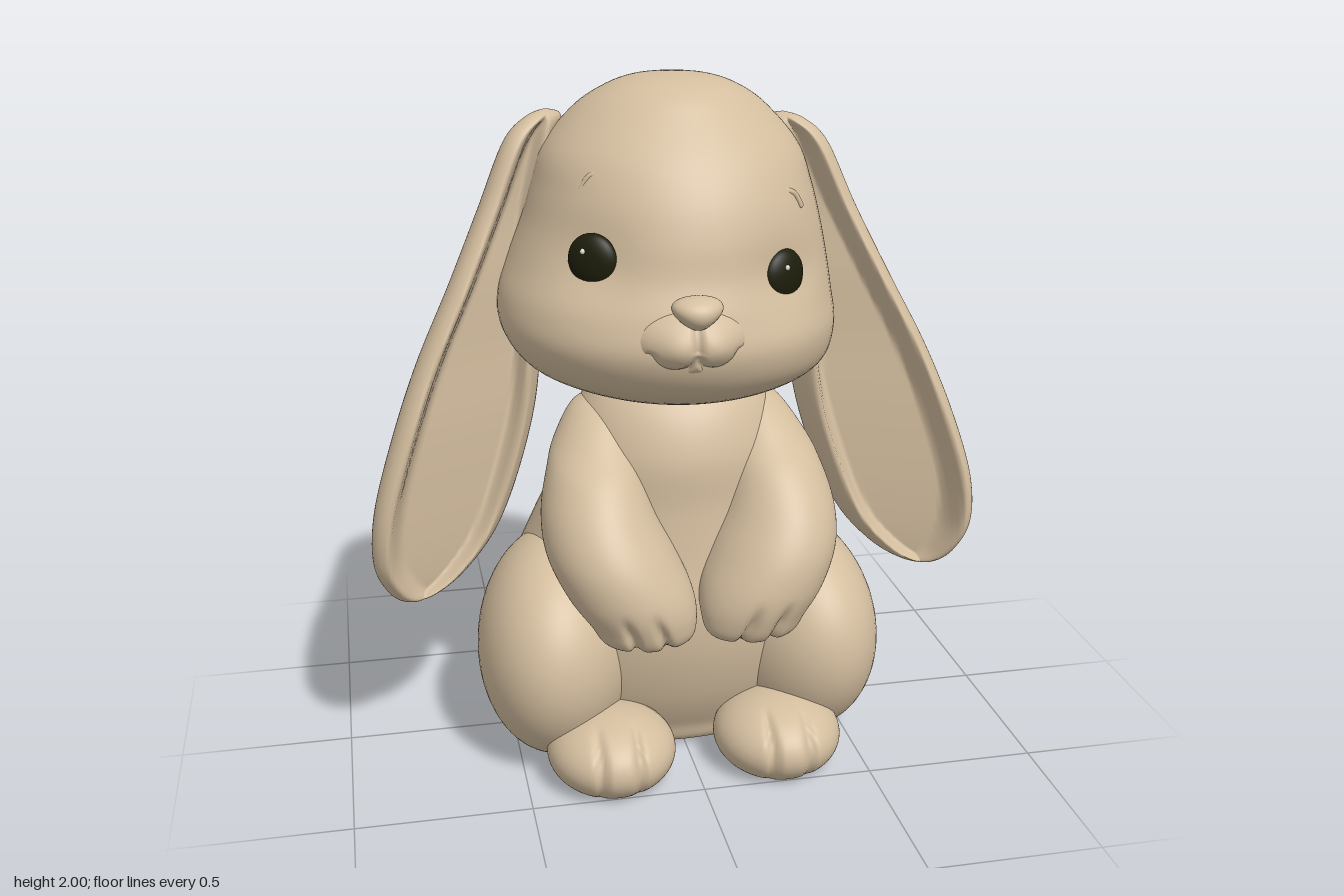
import * as THREE from 'three';

const smooth = THREE.MathUtils.smoothstep;
const lerp = THREE.MathUtils.lerp;

// Closed skin over rings: fn(t, angle) returns [x, y, z], t runs top to bottom
function skin(fn, rows, cols) {
  const pos = [], index = [];
  for (let i = 0; i <= rows; i++) {
    for (let j = 0; j < cols; j++) pos.push(...fn(i / rows, (j / cols) * Math.PI * 2));
  }
  for (let i = 0; i < rows; i++) {
    for (let j = 0; j < cols; j++) {
      const k = (j + 1) % cols;
      const a = i * cols + j, b = i * cols + k, c = a + cols, d = b + cols;
      index.push(a, b, c, b, d, c);
    }
  }
  const g = new THREE.BufferGeometry();
  g.setAttribute('position', new THREE.Float32BufferAttribute(pos, 3));
  g.setIndex(index);
  g.computeVertexNormals();
  return g;
}

// Smooth interpolation through table rows
function sample(table, t) {
  const n = table.length - 1;
  const f = Math.min(t * n, n - 1e-6), i = Math.floor(f), u = f - i;
  const at = (k) => table[Math.max(0, Math.min(n, k))];
  return table[0].map((_, c) => {
    const p0 = at(i - 1)[c], p1 = at(i)[c], p2 = at(i + 1)[c], p3 = at(i + 2)[c];
    return p1 + 0.5 * u * (p2 - p0 + u * (2 * p0 - 5 * p1 + 4 * p2 - p3 + u * (3 * (p1 - p2) + p3 - p0)));
  });
}

// Horizontal oval sections: [y, xMin, xMax, zBack, zFront]
function loft(table, rule = (p) => p, rows = 72, cols = 80) {
  return skin((t, a) => {
    const [y, x0, x1, zb, zf] = sample(table, t);
    return rule([
      (x0 + x1) / 2 + ((x1 - x0) / 2) * Math.cos(a),
      Math.max(0, y),
      (zb + zf) / 2 + ((zf - zb) / 2) * Math.sin(a),
    ]);
  }, rows, cols);
}

// Ellipsoid, flattened where it meets the ground
function blob([cx, cy, cz], [rx, ry, rz], rule = (p) => p, rows = 28, cols = 40) {
  return skin((t, a) => {
    const s = Math.sin(t * Math.PI);
    const p = rule([rx * s * Math.cos(a), ry * Math.cos(t * Math.PI), rz * s * Math.sin(a)]);
    return [cx + p[0], Math.max(0, cy + p[1]), cz + p[2]];
  }, rows, cols);
}

function mirror(geometry) {
  const g = geometry.clone().scale(-1, 1, 1);
  const ix = g.index.array;
  for (let i = 0; i < ix.length; i += 3) [ix[i], ix[i + 1]] = [ix[i + 1], ix[i]];
  g.computeVertexNormals();
  return g;
}

const bell = (d, width) => Math.exp(-((d / width) ** 2));

// Drooping ear: an oval shell with a dished front, turned by a slant
function earGeometry(slant) {
  const table = [ // y, inner x, outer x, centre z, half thickness
    [1.865, 0.35, 0.35, -0.08, 0], [1.845, 0.3, 0.41, -0.08, 0.055],
    [1.78, 0.31, 0.475, -0.075, 0.09], [1.6, 0.35, 0.555, -0.055, 0.112],
    [1.4, 0.37, 0.65, -0.015, 0.14], [1.2, 0.375, 0.75, 0.015, 0.165],
    [1.0, 0.4, 0.83, 0.05, 0.175], [0.8, 0.46, 0.89, 0.08, 0.17],
    [0.65, 0.53, 0.9, 0.095, 0.145], [0.55, 0.62, 0.865, 0.1, 0.1],
    [0.5, 0.7, 0.82, 0.1, 0.055], [0.485, 0.765, 0.765, 0.1, 0],
  ];
  return skin((t, a) => {
    const [y, x0, x1, zc, th] = sample(table, t);
    const half = (x1 - x0) / 2, w = half * Math.cos(a);
    let n = th * Math.sin(a);
    if (n > 0) n = lerp(n, 0.015, smooth(half - Math.abs(w), 0.04, 0.085));
    return [(x0 + x1) / 2 + w, y, zc + w * slant + n];
  }, 80, 88);
}

export function createModel() {
  const model = new THREE.Group();
  model.name = 'rabbit';
  const mat = (name, color) => {
    const m = new THREE.MeshStandardMaterial({ color });
    m.name = name;
    return m;
  };
  const fur = mat('tan fur', 0xd4be9f);
  const dark = mat('dark eye', 0x1e1e0c);
  const glint = mat('eye glint', 0xe6dcc8);
  const add = (name, geometry, material = fur, parent = model) => {
    const m = new THREE.Mesh(geometry, material);
    m.name = name;
    parent.add(m);
    return m;
  };

  // Pear-shaped torso with a flat base
  add('body', loft([
    [1.16, 0, 0, 0.05, 0.05], [1.14, -0.2, 0.2, -0.1, 0.2], [1.08, -0.27, 0.27, -0.175, 0.28],
    [0.95, -0.32, 0.32, -0.24, 0.33], [0.8, -0.36, 0.36, -0.34, 0.335], [0.65, -0.42, 0.42, -0.43, 0.35],
    [0.5, -0.48, 0.48, -0.485, 0.37], [0.35, -0.51, 0.51, -0.51, 0.36], [0.2, -0.5, 0.5, -0.475, 0.32],
    [0.08, -0.45, 0.45, -0.41, 0.26], [0, -0.4, 0.4, -0.36, 0.2], [0, 0, 0, -0.08, -0.08],
  ]));
  add('tail', blob([0, 0.125, -0.45], [0.15, 0.135, 0.13]));

  // Head, slightly fuller on one cheek, with shallow eye sockets
  const eyes = [
    { x: -0.28, y: 1.55, z: 0.347, turn: -0.62, brow: [-0.268, 1.75, 0.274] },
    { x: 0.235, y: 1.49, z: 0.372, turn: 0.56, brow: [0.275, 1.69, 0.304] },
  ];
  add('head', loft([
    [2.0, 0, 0, 0.02, 0.02], [1.987, -0.115, 0.115, -0.1, 0.13], [1.955, -0.2, 0.2, -0.18, 0.21],
    [1.9, -0.28, 0.275, -0.25, 0.27], [1.8, -0.365, 0.36, -0.335, 0.36], [1.7, -0.4, 0.395, -0.385, 0.42],
    [1.6, -0.43, 0.42, -0.41, 0.455], [1.5, -0.47, 0.44, -0.42, 0.475], [1.4, -0.505, 0.452, -0.42, 0.51],
    [1.3, -0.5, 0.46, -0.4, 0.525], [1.2, -0.43, 0.43, -0.335, 0.47], [1.13, -0.29, 0.32, -0.23, 0.35],
    [1.09, -0.14, 0.17, -0.1, 0.2], [1.08, 0, 0, 0.04, 0.04],
  ], ([x, y, z]) => {
    if (z > 0) for (const e of eyes) z -= 0.022 * bell(Math.hypot(x - e.x, y - e.y), 0.1);
    return [x, y, z];
  }));

  // Muzzle with a creased smile, and a wedge nose
  add('muzzle', blob([-0.038, 1.35, 0.42], [0.17, 0.105, 0.14], ([x, y, z]) => {
    const arc = bell(Math.hypot(Math.abs(x) - 0.06, y + 0.012) - 0.06, 0.01) * smooth(-y, 0.005, 0.03);
    const split = bell(x, 0.01) * smooth(y, -0.025, -0.01);
    const puff = bell(Math.hypot(Math.abs(x) - 0.055, y + 0.01), 0.045);
    return [x, y, z > 0 ? z + 0.012 * puff - 0.018 * Math.max(arc, split) : z];
  }, 64, 120));
  add('nose', blob([-0.034, 1.438, 0.518], [0.064, 0.045, 0.06],
    ([x, y, z]) => [x * (1 + y * 9), y, z]));

  for (const e of eyes) {
    const eye = new THREE.Group();
    eye.name = 'eye';
    eye.position.set(e.x, e.y, e.z);
    eye.rotation.y = e.turn;
    add('eyeball', new THREE.SphereGeometry(1, 32, 24).scale(0.072, 0.073, 0.034), dark, eye);
    const shine = add('eyeGlint', new THREE.SphereGeometry(0.008, 12, 8), glint, eye);
    shine.position.set(-0.015, 0.028, 0.029);
    model.add(eye);

    // Small raised brow
    const s = Math.sign(e.x);
    const brow = add('brow', new THREE.TubeGeometry(new THREE.CatmullRomCurve3([
      new THREE.Vector3(-0.028 * s, 0.02, -0.014), new THREE.Vector3(0.008 * s, 0.008, -0.001),
      new THREE.Vector3(0.03 * s, -0.03, 0.01),
    ]), 16, 0.009, 10));
    brow.position.set(...e.brow);
    brow.rotation.y = s * 0.72;
  }

  // Ears, one hanging a little higher and more turned
  add('leftEar', earGeometry(0.38));
  add('rightEar', mirror(earGeometry(0.62))).position.set(0, 0.03, 0.025);

  // Arms with finger creases
  const arm = loft([
    [1.09, 0.23, 0.23, 0.06, 0.06], [1.06, 0.15, 0.305, -0.03, 0.17], [0.97, 0.13, 0.37, -0.02, 0.29],
    [0.9, 0.125, 0.4, 0.02, 0.38], [0.8, 0.1, 0.425, 0.05, 0.465], [0.7, 0.055, 0.42, 0.1, 0.52],
    [0.6, 0.015, 0.375, 0.19, 0.54], [0.52, 0.008, 0.315, 0.28, 0.53], [0.46, 0.035, 0.265, 0.35, 0.5],
    [0.44, 0.15, 0.15, 0.43, 0.43],
  ], ([x, y, z]) => {
    const lean = (y - 0.45) * 0.35;
    const g = bell(x - 0.105 - lean, 0.014) + bell(x - 0.19 - lean, 0.014);
    const k = g * (1 - smooth(y, 0.5, 0.6)) * smooth(z, 0.4, 0.47);
    return [x, y + 0.005 * k, z - 0.024 * k];
  }, 72, 96);

  // Feet with toe creases
  const foot = blob([0.25, 0.09, 0.36], [0.188, 0.122, 0.2], ([x, y, z]) => {
    const k = bell(Math.abs(x) - 0.055, 0.012) * smooth(z, 0.04, 0.13);
    return [x, y - 0.006 * k, z * (1 - 0.11 * k)];
  }, 48, 96);

  // Thighs taper inward toward the back, joining the hips
  const thigh = blob([0.358, 0.31, 0.05], [0.247, 0.34, 0.38],
    ([x, y, z]) => [x + z * 0.12, y, z], 44, 60);

  for (const [name, g] of [['Arm', arm], ['Foot', foot], ['Thigh', thigh]]) {
    add('left' + name, g);
    add('right' + name, mirror(g));
  }
  return model;
}
